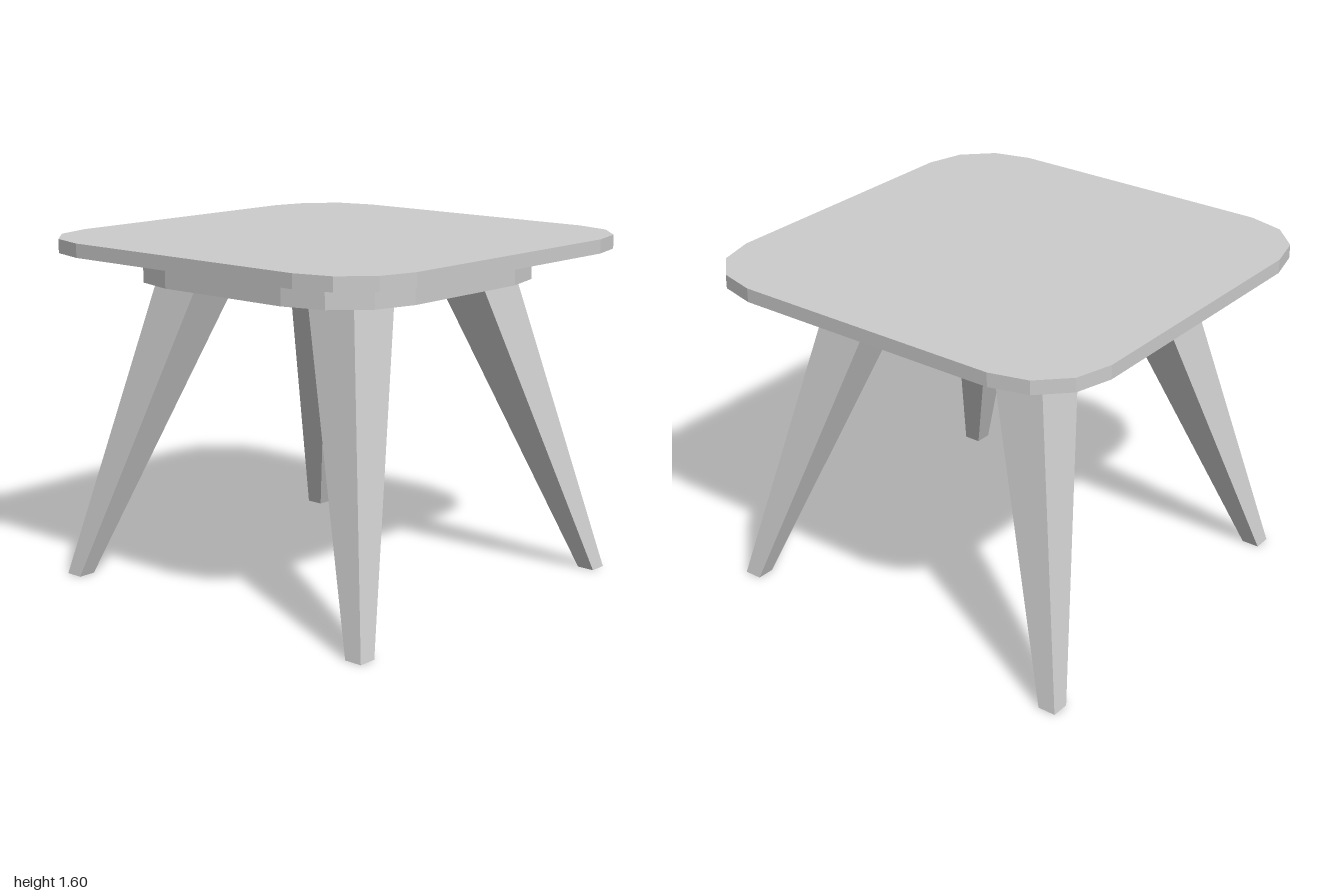
import * as THREE from 'three';

const material = new THREE.MeshStandardMaterial({ color: 0xcccccc, flatShading: true });

// Square slab with faceted round corners, lying between two heights
function slab(name, half, radius, bottom, top) {
  const shape = new THREE.Shape();
  const c = half - radius;
  [[c, c], [-c, c], [-c, -c], [c, -c]].forEach(([x, y], i) => {
    for (let k = 0; k <= 3; k++) {
      const a = i * Math.PI / 2 + k * Math.PI / 6;
      const px = x + radius * Math.cos(a), py = y + radius * Math.sin(a);
      if (i + k === 0) shape.moveTo(px, py);
      else shape.lineTo(px, py);
    }
  });
  shape.closePath();
  const geometry = new THREE.ExtrudeGeometry(shape, { depth: top - bottom, bevelEnabled: false });
  geometry.rotateX(-Math.PI / 2).translate(0, bottom, 0);
  const mesh = new THREE.Mesh(geometry, material);
  mesh.name = name;
  return mesh;
}

// Tapered, splayed square leg: centre and width differ at foot and top
function leg(name, sx, sz) {
  const height = 1.405;
  const foot = { x: 0.873, z: 0.843, w: 0.085 };
  const head = { x: 0.467, z: 0.437, w: 0.262 };
  const geometry = new THREE.BoxGeometry(1, 1, 1);
  const p = geometry.attributes.position;
  for (let i = 0; i < p.count; i++) {
    const upper = p.getY(i) > 0;
    const end = upper ? head : foot;
    p.setXYZ(i, sx * end.x + p.getX(i) * end.w, upper ? height : 0, sz * end.z + p.getZ(i) * end.w);
  }
  geometry.computeVertexNormals();
  const mesh = new THREE.Mesh(geometry, material);
  mesh.name = name;
  return mesh;
}

export function createModel() {
  const table = new THREE.Group();
  table.name = 'table';

  // Top and the smaller base plate under it
  table.add(slab('tableTop', 1, 0.35, 1.54, 1.604));
  table.add(slab('basePlate', 0.75, 0.4, 1.405, 1.54));

  // Four splayed legs
  for (const [side, sx] of [['Left', 1], ['Right', -1]]) {
    for (const [end, sz] of [['front', 1], ['back', -1]]) {
      table.add(leg(`${end}${side}Leg`, sx, sz));
    }
  }
  return table;
}
